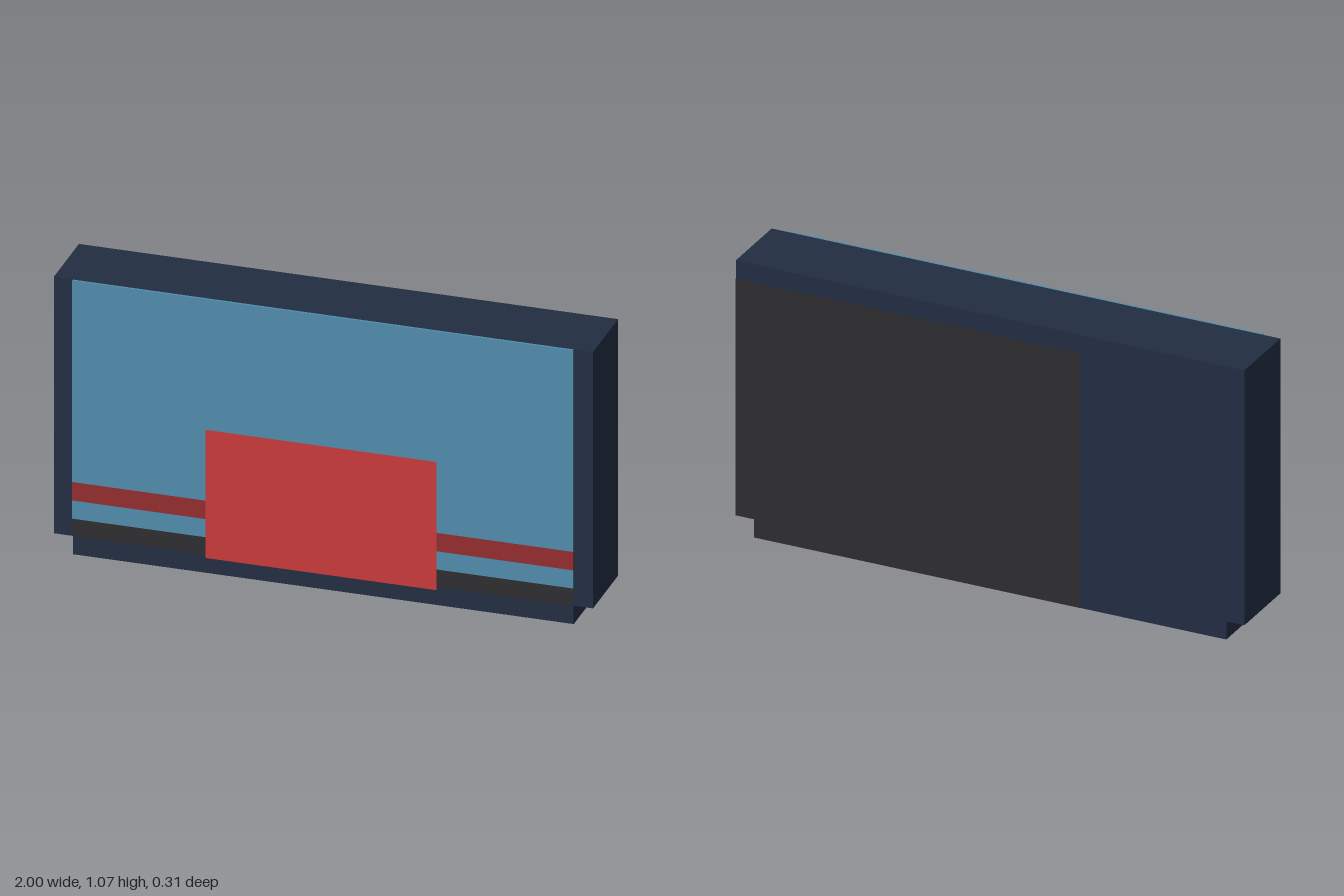
import * as THREE from 'three';

// Everything sits on a grid of 1/14 units
const U = 1 / 14;

export function createModel() {
  const model = new THREE.Group();
  const paint = (name, color) => {
    const m = new THREE.MeshStandardMaterial({ color });
    m.name = name;
    return m;
  };
  const navy = paint('navy', 0x222d42);
  const blue = paint('blue', 0x508cad);
  const red = paint('red', 0xc83a3a);
  const darkRed = paint('dark red', 0x922c2f);
  const charcoal = paint('charcoal', 0x2d2c30);
  red.side = THREE.DoubleSide;

  const add = (name, geometry, material) => {
    const mesh = new THREE.Mesh(geometry, material);
    mesh.name = name;
    model.add(mesh);
    return mesh;
  };
  // Box given by its limits
  const box = (name, material, x0, x1, y0, y1, z0, z1) =>
    add(name, new THREE.BoxGeometry(x1 - x0, y1 - y0, z1 - z0), material)
      .position.set((x0 + x1) / 2, (y0 + y1) / 2, (z0 + z1) / 2);

  const back = -0.157, front = 0.129, face = 0.138, tip = 0.157;

  // Body with a narrower foot
  box('body', navy, -14 * U, 14 * U, U, 15 * U, back, front);
  box('foot', navy, -13 * U, 13 * U, 0, U, back, front);

  // Front panel, lower strip and stripe
  box('frontPanel', blue, -13 * U, 13 * U, 2 * U, 15 * U, front, face);
  box('lowerStrip', charcoal, -13 * U, 13 * U, U, 2 * U, front, front + 0.001);
  box('stripe', darkRed, -13 * U - 0.001, 13 * U + 0.001, 3 * U, 4 * U, front, face + 0.001);

  // Wide plate carried by a smaller block
  box('plateMount', darkRed, -3 * U, 3 * U, 3 * U, 5 * U, face, tip - 0.001);
  add('frontPlate', new THREE.PlaneGeometry(12 * U, 7 * U), red).position.set(0, 4.5 * U, tip);

  // Back patch, following the step at the foot
  const outline = [[-5, 0], [13, 0], [13, 1], [14, 1], [14, 14], [-5, 14]]
    .map(([x, y]) => new THREE.Vector2(-x * U, y * U));
  const patch = add('backPatch', new THREE.ShapeGeometry(new THREE.Shape(outline)), charcoal);
  patch.rotation.y = Math.PI;
  patch.position.z = back - 0.001;

  return model;
}
